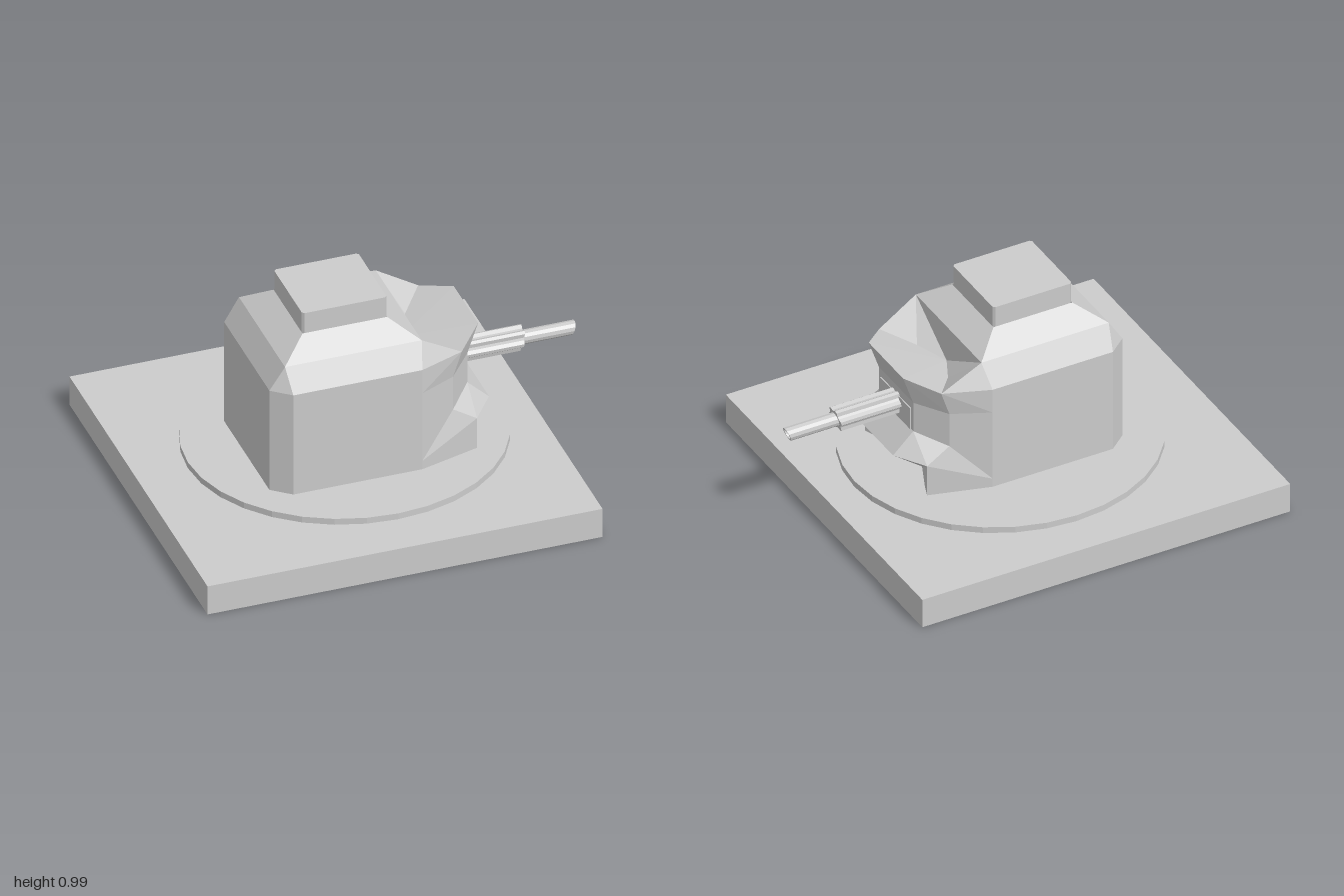
import * as THREE from 'three';

const material = new THREE.MeshStandardMaterial({ color: 0xcccccc, flatShading: true });
const shellMaterial = material.clone();
shellMaterial.side = THREE.DoubleSide;

function add(parent, name, geometry, x = 0, y = 0, z = 0, mat = material) {
  const mesh = new THREE.Mesh(geometry, mat);
  mesh.name = name;
  mesh.position.set(x, y, z);
  parent.add(mesh);
  return mesh;
}

// Faceted hull, described for the +z half and mirrored to the other
function hullGeometry() {
  const verts = [];
  const mid = ([x, y]) => [x, y, 0];
  const face = (...p) => {
    for (let i = 1; i < p.length - 1; i++) {
      const tri = [p[0], p[i], p[i + 1]];
      tri.forEach((v) => verts.push(...v));
      tri.reverse().forEach(([x, y, z]) => verts.push(x, y, -z));
    }
  };
  const back0 = [-0.51, 0.145, 0.29], back1 = [-0.51, 0.7, 0.29];
  const side0 = [-0.425, 0.145, 0.36], side1 = [-0.425, 0.7, 0.36];
  const rimBack = [-0.44, 0.81, 0.295], rimFront = [0.19, 0.81, 0.295];
  const capBack = [-0.32, 0.89, 0.185], capFront = [0.07, 0.89, 0.185];
  // Columns of the front, bottom to top: side edge, cheek edge, nose edge
  const edge = [0.145, 0.23, 0.41, 0.58, 0.7].map((y) => [0.17, y, 0.36]);
  const cheek = [[0.45, 0.145], [0.45, 0.34], [0.34, 0.41], [0.34, 0.58], [0.38, 0.7]].map(([x, y]) => [x, y, 0.28]);
  const nose = [null, [0.55, 0.355, 0.155], [0.45, 0.45, 0.155], [0.45, 0.6, 0.155], [0.5, 0.745, 0.155]];

  // Walls, bevels and roof
  face(side0, edge[0], edge[4], side1);
  face(back0, side0, side1, back1);
  face(mid(back0), back0, back1, mid(back1));
  face(side1, edge[4], rimFront, rimBack);
  face(back1, side1, rimBack);
  face(mid(back1), back1, rimBack, mid(rimBack));
  face(rimBack, rimFront, capFront, capBack);
  face(mid(rimBack), rimBack, capBack, mid(capBack));
  face(rimFront, mid(rimFront), mid(capFront), capFront);
  face(edge[4], cheek[4], rimFront);
  // Cheeks and waisted front
  for (let i = 0; i < 4; i++) {
    face(edge[i], cheek[i], cheek[i + 1], edge[i + 1]);
    if (i === 0) continue;
    face(cheek[i], nose[i], nose[i + 1], cheek[i + 1]);
    face(nose[i], mid(nose[i]), mid(nose[i + 1]), nose[i + 1]);
  }
  // Upper visor and the notch behind it
  const top1 = [0.27, 0.665, 0.14], top0 = [0.2, 0.645, 0];
  face(nose[4], mid(nose[4]), top0, top1, cheek[4]);
  face(rimFront, cheek[4], top1, top0, mid(rimFront));
  // Underside of the lower lip and the notch below it
  const low1 = [0.4, 0.24, 0.145], low0 = [0.33, 0.19, 0];
  face(nose[1], cheek[1], low1, low0, mid(nose[1]));
  face(cheek[0], [0.31, 0.145, 0], low0, low1, cheek[1]);

  const g = new THREE.BufferGeometry();
  g.setAttribute('position', new THREE.Float32BufferAttribute(verts, 3));
  g.computeVertexNormals();
  return g;
}

// Hollow bar along +x from a ring of radii, ends raked by the slant factor
function hollowBar(radii, bore, length, slant) {
  const n = radii.length;
  const shape = new THREE.Shape(radii.map((r, i) => {
    const a = (i / n) * Math.PI * 2;
    return new THREE.Vector2(r * Math.cos(a), r * Math.sin(a));
  }));
  shape.holes.push(new THREE.Path().absarc(0, 0, bore, 0, Math.PI * 2, true));
  const g = new THREE.ExtrudeGeometry(shape, { depth: length, bevelEnabled: false, curveSegments: 6 });
  g.rotateY(Math.PI / 2);
  const p = g.attributes.position;
  for (let i = 0; i < p.count; i++) p.setX(i, p.getX(i) + p.getY(i) * slant);
  g.computeVertexNormals();
  return g;
}

export function createModel() {
  const root = new THREE.Group();
  root.name = 'gunTurret';

  add(root, 'basePlate', new THREE.BoxGeometry(1.82, 0.145, 1.77), -0.09, 0.0725, 0);
  const ring = add(root, 'turntable', new THREE.CylinderGeometry(1, 1, 0.03, 32), -0.047, 0.172, -0.01);
  ring.scale.set(0.722, 1, 0.69);

  // Turret, slightly off centre in z
  const turret = new THREE.Group();
  turret.name = 'turret';
  turret.position.z = 0.025;
  root.add(turret);
  add(turret, 'hull', hullGeometry(), 0, 0, 0, shellMaterial);

  // Roof hatch with clipped corners
  const hx = 0.195, hz = 0.185, c = 0.01;
  const hatch = new THREE.Shape([
    [hx, -hz + c], [hx, hz - c], [hx - c, hz], [-hx + c, hz],
    [-hx, hz - c], [-hx, -hz + c], [-hx + c, -hz], [hx - c, -hz],
  ].map(([x, y]) => new THREE.Vector2(x, y)));
  const hatchGeometry = new THREE.ExtrudeGeometry(hatch, { depth: 0.105, bevelEnabled: false });
  hatchGeometry.rotateX(-Math.PI / 2);
  add(turret, 'roofHatch', hatchGeometry, -0.125, 0.888, 0);

  // Gun: mounting block, ribbed shroud and barrel
  add(turret, 'gunMount', new THREE.BoxGeometry(0.08, 0.11, 0.27), 0.415, 0.505, 0);
  const ribs = Array.from({ length: 24 }, (_, i) => (i % 4 < 2 ? 0.057 : 0.045));
  add(turret, 'gunShroud', hollowBar(ribs, 0.034, 0.35, 0.2), 0.4, 0.52, 0);
  add(turret, 'gunBarrel', hollowBar(Array(12).fill(0.032), 0.024, 0.58, 0.35), 0.409, 0.52, 0);
  return root;
}
